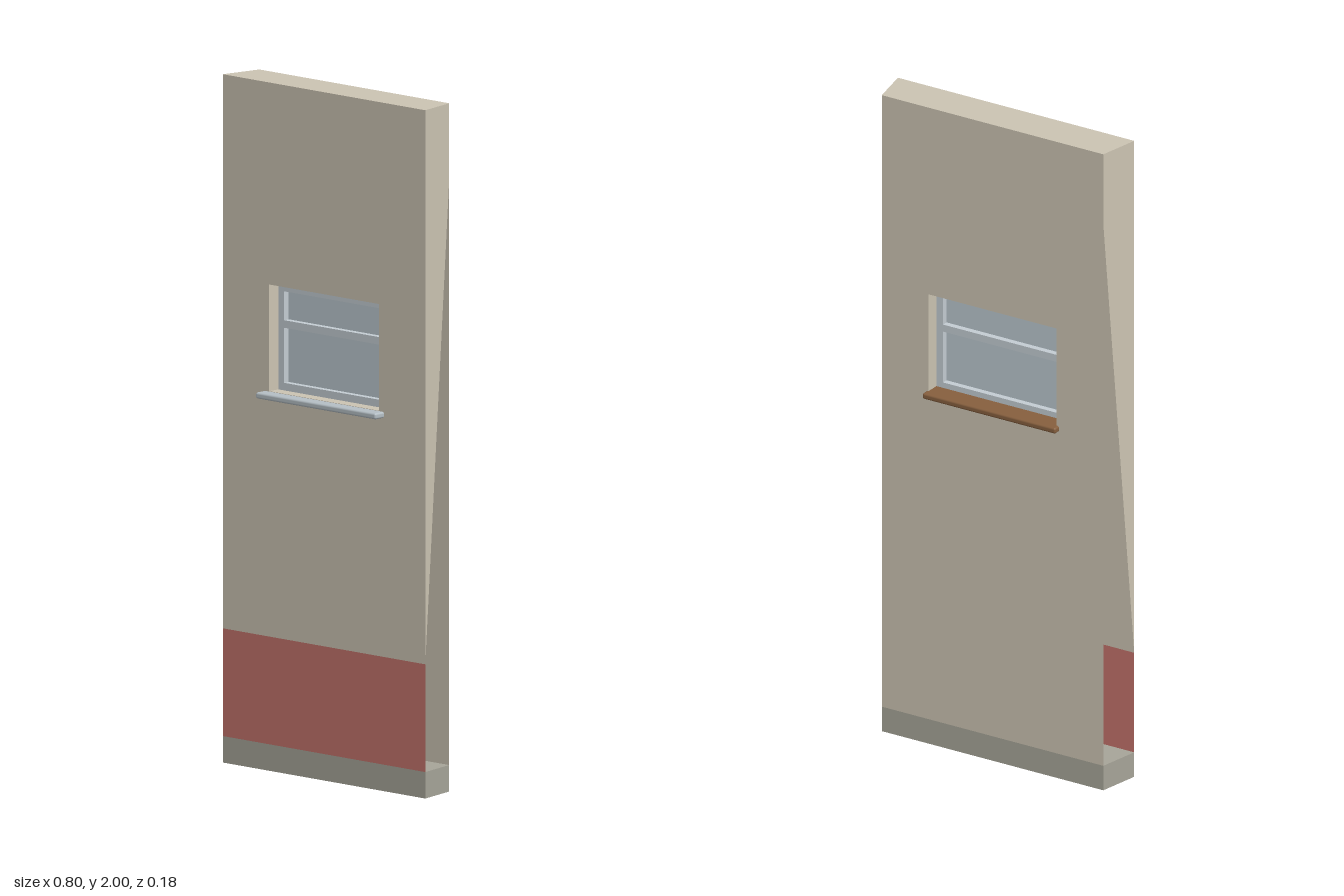
import * as THREE from 'three';
import { RoundedBoxGeometry } from 'three/addons/geometries/RoundedBoxGeometry.js';

const FRONT = 0.055, BACK = -0.07;      // wall faces
const HALF_F = 0.4, HALF_B = 0.375;     // half widths, front and back (mitred ends)
const BASE = 0.077, BAND = 0.39, TOP = 2;
const WIN = { x: 0.217, y0: 1.103, y1: 1.413 };

const mat = (name, color, side = THREE.FrontSide) =>
  Object.assign(new THREE.MeshStandardMaterial({ color, side }), { name });

// Rectangle as a path, for shapes and their holes
function rect(x, y0, y1, Type = THREE.Shape) {
  return new Type([[-x, y0], [x, y0], [x, y1], [-x, y1]].map(p => new THREE.Vector2(...p)));
}

// Flat convex polygon from corners, counter-clockwise from outside
function polygon(corners) {
  const g = new THREE.BufferGeometry();
  const pos = [];
  for (let i = 1; i < corners.length - 1; i++) pos.push(...corners[0], ...corners[i], ...corners[i + 1]);
  g.setAttribute('position', new THREE.Float32BufferAttribute(pos, 3));
  g.computeVertexNormals();
  return g;
}

export function createModel() {
  const model = new THREE.Group();
  model.name = 'wallPanel';
  const render = mat('render beige', 0xcbc3b2, THREE.DoubleSide);
  const red = mat('brick red', 0xc2726a, THREE.DoubleSide);
  const concrete = mat('concrete grey', 0xa6a498, THREE.DoubleSide);
  const frameMat = mat('frame pale grey', 0xc3ccd2);
  const glassMat = mat('glass blue grey', 0xbac6ce);
  const sillMat = mat('sill grey', 0xb4bec4);
  const wood = mat('wood brown', 0x865f3e);

  const add = (name, geometry, material, parent = model) => {
    const m = new THREE.Mesh(geometry, material);
    m.name = name;
    parent.add(m);
    return m;
  };

  // Wall skins with the window opening
  const skin = (halfWidth, y0) => {
    const s = rect(halfWidth, y0, TOP);
    s.holes.push(rect(WIN.x, WIN.y0, WIN.y1, THREE.Path));
    return new THREE.ShapeGeometry(s);
  };
  add('frontWall', skin(HALF_F, BAND).translate(0, 0, FRONT), render);
  add('backWall', skin(HALF_B, BASE).rotateY(Math.PI).translate(0, 0, BACK), render);
  add('frontBand', new THREE.ShapeGeometry(rect(HALF_F, BASE, BAND)).translate(0, 0, FRONT), red);
  add('wallTop', polygon([[-HALF_F, TOP, FRONT], [HALF_F, TOP, FRONT],
    [HALF_B, TOP, BACK], [-HALF_B, TOP, BACK]]), render);

  // Tapered end pieces, open below the slanted edge
  for (const s of [1, -1]) {
    const c = [[s * HALF_F, BAND, FRONT], [s * HALF_B, 1.78, BACK],
      [s * HALF_B, TOP, BACK], [s * HALF_F, TOP, FRONT]];
    add(s > 0 ? 'leftEnd' : 'rightEnd', polygon(s > 0 ? c : c.reverse()), render);
  }

  // Base block with mitred ends
  const plan = new THREE.Shape([[-HALF_F, -FRONT], [HALF_F, -FRONT], [HALF_B, -BACK], [-HALF_B, -BACK]]
    .map(p => new THREE.Vector2(...p)));
  add('base', new THREE.ExtrudeGeometry(plan, { depth: BASE, bevelEnabled: false })
    .rotateX(-Math.PI / 2), concrete);

  // Window reveal: four faces lining the opening
  const { x, y0, y1 } = WIN;
  const loop = [[-x, y0], [x, y0], [x, y1], [-x, y1]];
  const reveal = new THREE.Group();
  reveal.name = 'windowReveal';
  model.add(reveal);
  ['revealBottom', 'revealLeft', 'revealTop', 'revealRight'].forEach((name, i) => {
    const a = loop[i], b = loop[(i + 1) % 4];
    add(name, polygon([[...a, FRONT], [...b, FRONT], [...b, BACK], [...a, BACK]]), render, reveal);
  });

  // Window frame with two lights, and the glass
  const win = new THREE.Group();
  win.name = 'window';
  model.add(win);
  const frame = rect(x, y0, y1);
  frame.holes.push(rect(0.194, 1.125, 1.285, THREE.Path), rect(0.194, 1.307, 1.391, THREE.Path));
  add('windowFrame', new THREE.ExtrudeGeometry(frame, { depth: 0.045, bevelEnabled: false })
    .translate(0, 0, -0.028), frameMat, win);
  [[1.125, 1.285, 'lowerGlass'], [1.307, 1.391, 'upperGlass']].forEach(([a, b, name]) =>
    add(name, new THREE.BoxGeometry(0.388, b - a, 0.008).translate(0, (a + b) / 2, -0.006), glassMat, win));

  // Sills with softened edges
  const sill = (name, halfWidth, yLow, yHigh, zLow, zHigh, material) =>
    add(name, new RoundedBoxGeometry(halfWidth * 2, yHigh - yLow, zHigh - zLow, 3, 0.006)
      .translate(0, (yLow + yHigh) / 2, (zLow + zHigh) / 2), material);
  sill('frontSill', 0.237, 1.084, 1.102, 0.045, 0.091, sillMat);
  sill('backSill', 0.225, 1.09, 1.108, -0.091, -0.02, wood);

  return model;
}
